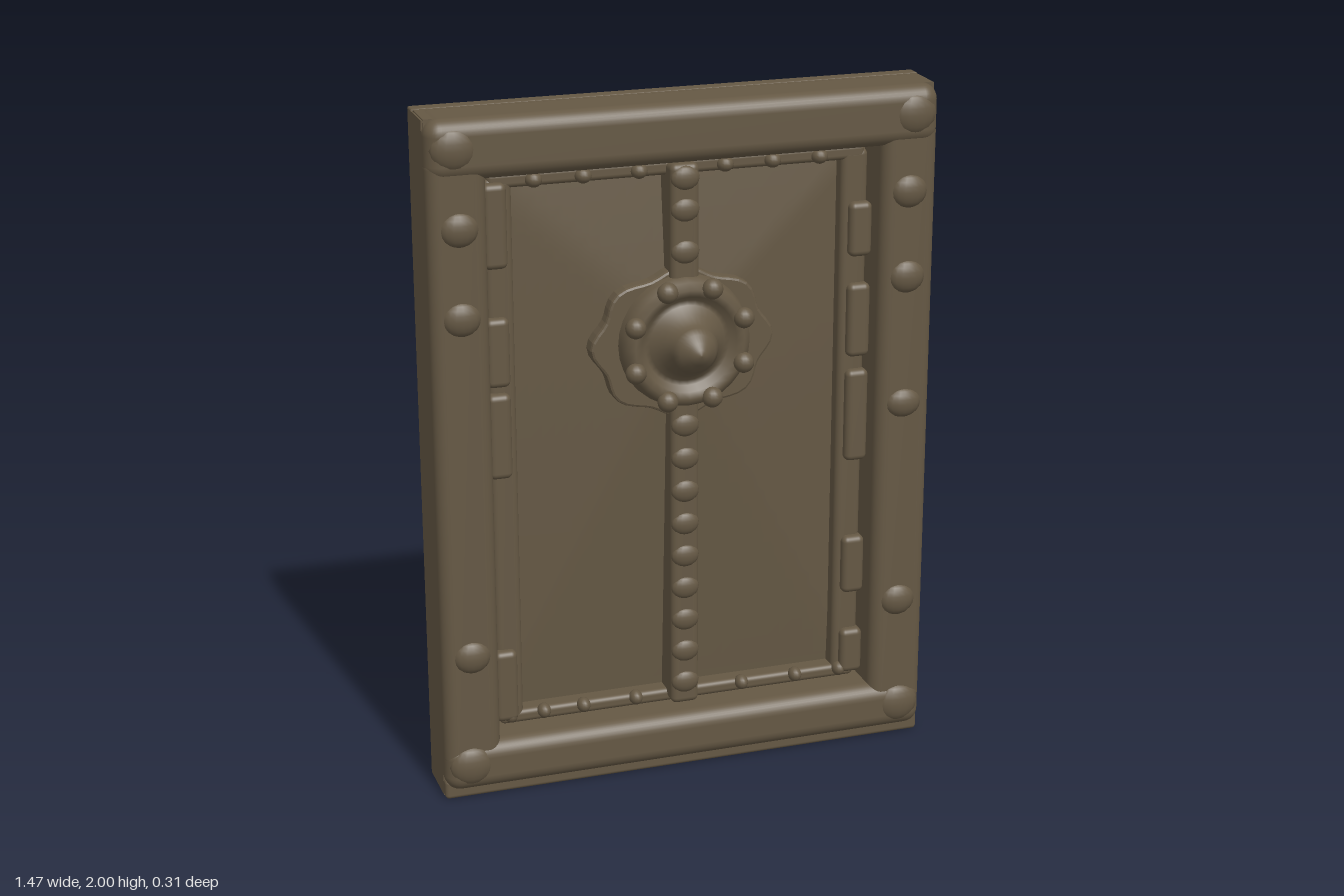
import * as THREE from 'three';
import { RoundedBoxGeometry } from 'three/addons/geometries/RoundedBoxGeometry.js';

export function createModel() {
  const model = new THREE.Group();
  const wood = new THREE.MeshStandardMaterial({ color: 0x655844 });
  wood.name = 'dark brown';

  function add(name, geometry, x = 0, y = 0, z = 0) {
    const mesh = new THREE.Mesh(geometry, wood);
    mesh.name = name;
    mesh.position.set(x, y, z);
    model.add(mesh);
    return mesh;
  }
  // rounded bar given by its extents
  function bar(name, x0, x1, y0, y1, z0, z1, r) {
    return add(name, new RoundedBoxGeometry(x1 - x0, y1 - y0, z1 - z0, 4, r),
      (x0 + x1) / 2, (y0 + y1) / 2, (z0 + z1) / 2);
  }
  // flattened round-headed stud
  function stud(name, x, y, z, rx, ry, rz) {
    const g = new THREE.SphereGeometry(1, 16, 10);
    g.scale(rx, ry, rz);
    return add(name, g, x, y, z);
  }

  // back slab and the solid rim around the opening
  bar('backSlab', -0.735, 0.735, 0, 2, -0.155, -0.11, 0.006);
  for (const s of [-1, 1]) {
    add('sideEdge', new THREE.BoxGeometry(0.16, 1.99, 0.15), s * 0.655, 1, -0.07);
  }
  add('topEdge', new THREE.BoxGeometry(1.46, 0.16, 0.16), 0, 1.918, -0.07);
  add('bottomEdge', new THREE.BoxGeometry(1.46, 0.16, 0.16), 0, 0.082, -0.07);

  // outer frame
  bar('topRail', -0.735, 0.735, 1.83, 2, -0.13, 0.062, 0.045);
  bar('bottomRail', -0.735, 0.735, 0.03, 0.175, -0.13, 0.062, 0.045);
  bar('bottomLip', -0.735, 0.735, 0, 0.06, -0.13, 0.03, 0.012);
  for (const s of [-1, 1]) {
    const a = s * 0.57, b = s * 0.735;
    bar('sideStile', Math.min(a, b), Math.max(a, b), 0.1, 1.9, -0.13, 0.055, 0.035);
  }

  // recessed door panel, swelling towards the medallion
  const panel = new THREE.PlaneGeometry(1.16, 1.68, 32, 40);
  const p = panel.attributes.position;
  for (let i = 0; i < p.count; i++) {
    const x = p.getX(i), y = p.getY(i) + 1;
    const span = y > 1.31 ? 0.53 : 1.14;
    const d = Math.max(Math.abs(x) / 0.58, Math.abs(y - 1.31) / span);
    p.setZ(i, -0.03 - 0.06 * Math.min(1, d));
  }
  panel.computeVertexNormals();
  add('doorPanel', panel, 0, 1, 0);

  // inner trim straps and their uneven overlapping plates
  for (const s of [-1, 1]) {
    const strap = (name, a, b, y0, y1, z) =>
      bar(name, Math.min(s * a, s * b), Math.max(s * a, s * b), y0, y1, -0.12, z, 0.018);
    strap('innerSideTrim', 0.48, 0.56, 0.19, 1.81, -0.035);
    const plates = s < 0
      ? [[1.56, 1.8], [1.22, 1.42], [0.95, 1.2], [0.2, 0.42]]
      : [[1.5, 1.66], [1.2, 1.42], [0.88, 1.16], [0.46, 0.64], [0.2, 0.34]];
    for (const [y0, y1] of plates) strap('trimPlate', 0.5, 0.568, y0, y1, -0.01);
  }
  bar('innerTopTrim', -0.55, 0.55, 1.78, 1.825, -0.12, -0.035, 0.015);
  bar('innerBottomTrim', -0.55, 0.55, 0.18, 0.22, -0.12, -0.035, 0.015);

  // small studs along the inner trim
  for (const x of [-0.42, -0.28, -0.12, 0.13, 0.27, 0.41]) {
    stud('topTrimStud', x, 1.8, -0.035, 0.024, 0.022, 0.025);
  }
  for (const x of [-0.52, -0.42, -0.3, -0.14, 0.19, 0.36, 0.5]) {
    stud('bottomTrimStud', x, 0.21, -0.035, 0.02, 0.022, 0.025);
  }

  // large bolts on the frame
  for (const s of [-1, 1]) {
    for (const y of [1.7, 1.45, 0.45]) stud('frameBolt', s * 0.65, y, 0.045, 0.055, 0.05, 0.03);
    for (const y of [1.92, 0.11]) stud('cornerBolt', s * 0.66, y, 0.045, 0.065, 0.06, 0.03);
  }
  stud('frameBolt', 0.65, 1.07, 0.045, 0.055, 0.045, 0.03);

  // central strap with a row of studs
  bar('centreStrap', -0.042, 0.042, 0.19, 1.82, -0.12, 0.012, 0.018);
  for (let y = 0.26; y < 1.1; y += 0.1) stud('strapStud', 0, y, 0.005, 0.042, 0.035, 0.02);
  for (const y of [1.57, 1.69, 1.78]) stud('strapStud', 0, y, 0.005, 0.042, 0.035, 0.02);

  // scalloped medallion plate
  const outline = [];
  for (let i = 0; i < 64; i++) {
    const a = i / 64 * Math.PI * 2, r = 1 + 0.05 * Math.cos(8 * a);
    outline.push(new THREE.Vector2(0.25 * r * Math.cos(a), 0.205 * r * Math.sin(a)));
  }
  add('medallionPlate', new THREE.ExtrudeGeometry(new THREE.Shape(outline), {
    depth: 0.05, bevelEnabled: true, bevelSize: 0.008, bevelThickness: 0.01, bevelSegments: 2,
  }), 0, 1.3, -0.07);

  // medallion drum, ring and central boss turned from one profile
  const profile = [[0.195, -0.04], [0.19, 0.01], [0.18, 0.04], [0.16, 0.053], [0.14, 0.045],
    [0.125, 0.025], [0.11, 0.025], [0.09, 0.05], [0.066, 0.075], [0.066, 0.1],
    [0.052, 0.118], [0.032, 0.135], [0.016, 0.148], [0, 0.152]]
    .map(([r, h]) => new THREE.Vector2(r, h));
  const boss = add('medallionBoss', new THREE.LatheGeometry(profile, 32), 0, 1.31, 0);
  boss.rotation.x = Math.PI / 2;
  for (let i = 0; i < 8; i++) {
    const a = (i + 0.5) / 8 * Math.PI * 2;
    stud('ringBead', 0.172 * Math.cos(a), 1.31 + 0.172 * Math.sin(a), 0.05, 0.03, 0.03, 0.028);
  }

  return model;
}
